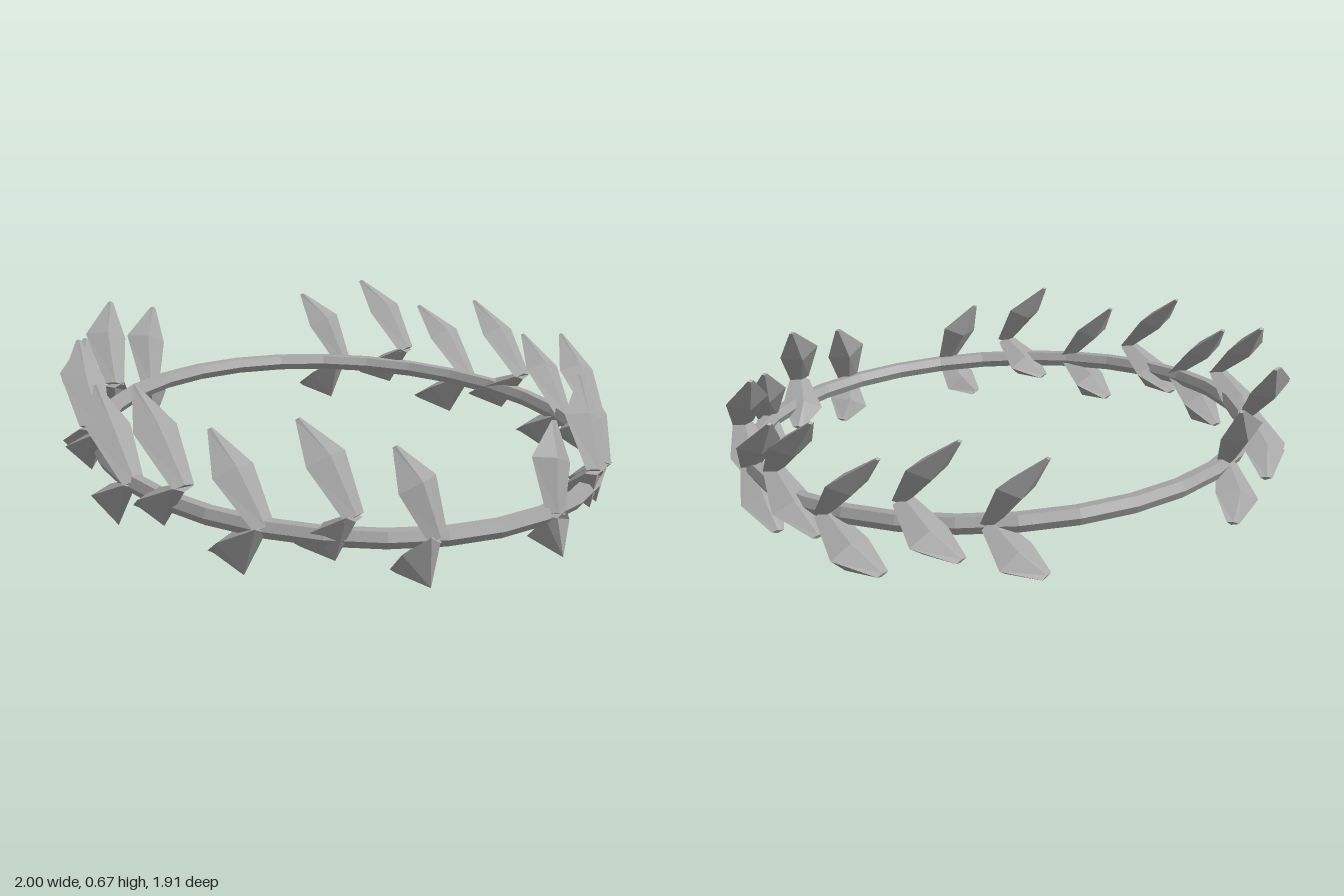
import * as THREE from 'three';

const RING_Y = 0.255, RING_Z = 0.02, TILT = 0.11;

// Faceted leaf from four-sided sections: [fraction along, half width, below, above, sideways bow]
function leafGeometry(base, tip, sections) {
  const dir = tip.clone().sub(base);
  const normal = new THREE.Vector3(0, dir.y, dir.z).cross(new THREE.Vector3(1, 0, 0)).normalize();
  const across = normal.clone().cross(dir).normalize();
  const positions = [], index = [];
  for (const [t, w, below, above, bow] of sections) {
    const c = base.clone().addScaledVector(dir, t).addScaledVector(across, bow);
    for (const [u, v] of [[w, 0], [0, below], [-w, 0], [0, -above]]) {
      const p = c.clone().addScaledVector(across, u).addScaledVector(normal, v);
      positions.push(p.x, p.y, p.z);
    }
  }
  for (let s = 0; s < sections.length - 1; s++) {
    for (let i = 0; i < 4; i++) {
      const a = s * 4 + i, b = s * 4 + (i + 1) % 4;
      index.push(a, b, a + 4, b, b + 4, a + 4);
    }
  }
  // end caps
  const e = (sections.length - 1) * 4;
  index.push(0, 2, 1, 0, 3, 2, e, e + 1, e + 2, e, e + 2, e + 3);
  const geo = new THREE.BufferGeometry();
  geo.setAttribute('position', new THREE.Float32BufferAttribute(positions, 3));
  geo.setIndex(index);
  const flat = geo.toNonIndexed();
  flat.computeVertexNormals();
  return flat;
}

export function createModel() {
  const group = new THREE.Group();
  const metal = new THREE.MeshStandardMaterial({ color: 0xa6a6a6, flatShading: true });
  metal.name = 'grey';

  // Tilted band
  const ringGeo = new THREE.TorusGeometry(0.907, 0.033, 6, 30);
  ringGeo.rotateX(Math.PI / 2);
  ringGeo.rotateY(Math.PI / 2);
  const ring = new THREE.Mesh(ringGeo, metal);
  ring.name = 'band';
  ring.position.set(0, RING_Y, RING_Z);
  ring.rotation.x = TILT;
  group.add(ring);

  // Leaf pairs, front to back: base x, base z, tip x, tip z, outward bow of the middle
  const leaves = [
    [0.23, 0.92, 0.312, 0.80, -0.015],
    [0.475, 0.83, 0.56, 0.64, -0.015],
    [0.68, 0.64, 0.75, 0.42, 0],
    [0.845, 0.42, 0.885, 0.15, 0],
    [0.905, 0.16, 0.915, -0.12, 0.01],
    [0.91, -0.11, 0.87, -0.395, 0.015],
    [0.845, -0.39, 0.755, -0.64, 0.025],
    [0.665, -0.60, 0.578, -0.83, 0.025],
    [0.45, -0.77, 0.35, -0.95, 0.025],
  ];
  const upperGroup = new THREE.Group(), lowerGroup = new THREE.Group();
  upperGroup.name = 'upperLeaves';
  lowerGroup.name = 'lowerLeaves';
  group.add(upperGroup, lowerGroup);

  leaves.forEach(([bx, bz, tx, tz, bow], i) => {
    // every second pair sits a little higher, with a shallower keel below
    const raised = i % 2 === 1;
    const y = RING_Y - TILT * (bz - RING_Z) + (raised ? 0.08 : 0.005);
    const keel = raised ? 0.095 : 0.112;
    for (const side of [1, -1]) {
      const base = new THREE.Vector3(side * bx, y, bz);
      const add = (parent, name, rise, sections) => {
        const tip = new THREE.Vector3(side * tx, y + rise, tz);
        const mesh = new THREE.Mesh(leafGeometry(base, tip, sections), metal);
        mesh.name = name;
        parent.add(mesh);
      };
      add(upperGroup, 'upperLeaf', 0.275,
        [[0, 0.038, 0.015, 0.015, 0], [0.57, 0.077, 0.042, 0.034, side * bow], [1, 0.01, 0.006, 0.006, 0]]);
      add(lowerGroup, 'lowerLeaf', -0.122,
        [[0, 0.038, 0.015, 0.015, 0], [0.55, 0.077, keel, 0.03, side * bow], [1, 0.022, 0.012, 0.006, 0]]);
    }
  });
  return group;
}
